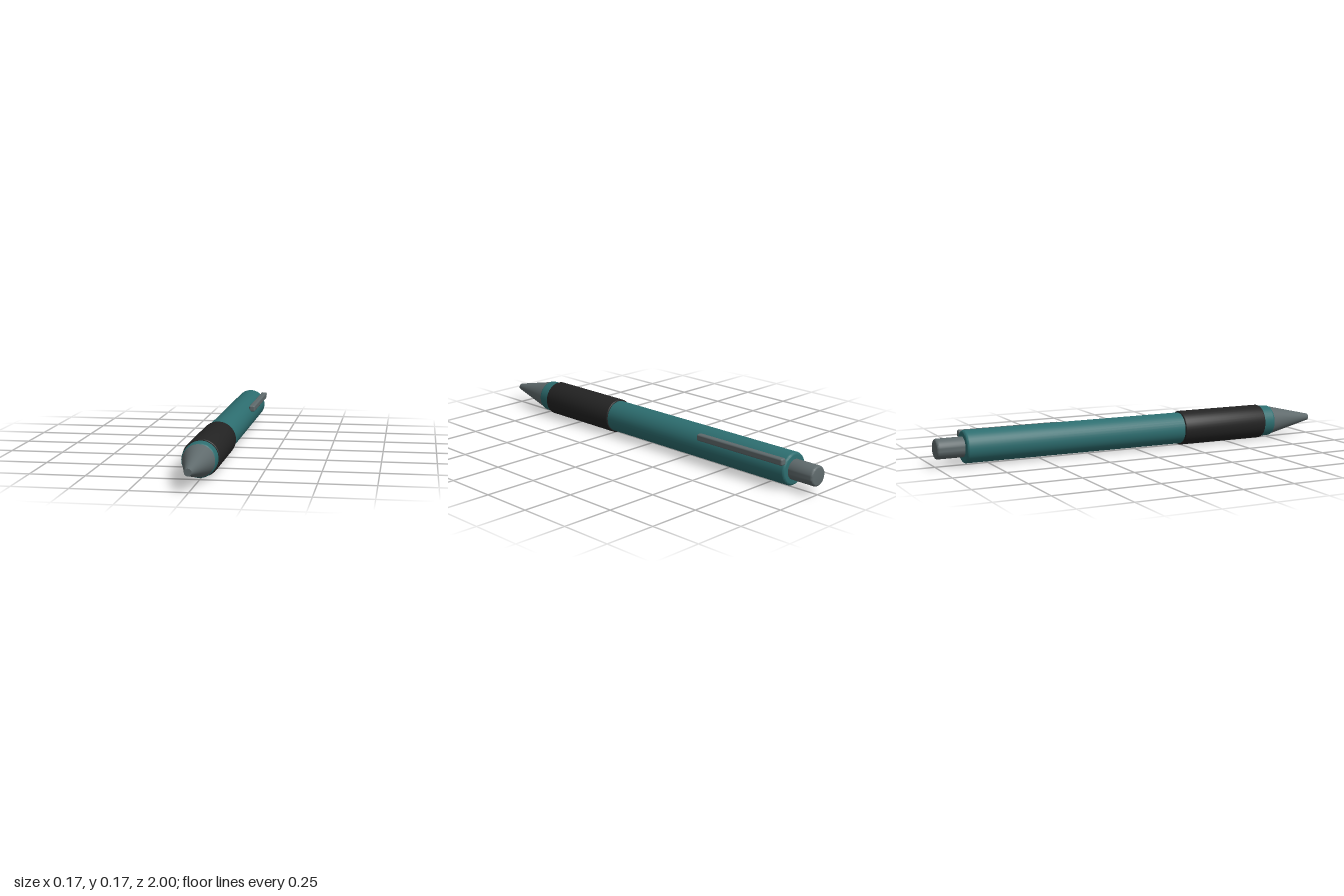
import * as THREE from 'three';
import { toCreasedNormals } from 'three/addons/utils/BufferGeometryUtils.js';
import { RoundedBoxGeometry } from 'three/addons/geometries/RoundedBoxGeometry.js';

const AXIS_X = -0.003, AXIS_Y = 0.084;

function material(name, color) {
  const m = new THREE.MeshStandardMaterial({ color });
  m.name = name;
  return m;
}

// Solid rod along z with rounded rims, from z0 (back) to z1 (front)
function rod(radius, z0, z1, bevel, steps = 4) {
  const points = [new THREE.Vector2(0, z0)];
  for (let i = 0; i <= steps; i++) {
    const a = (i / steps) * Math.PI / 2;
    points.push(new THREE.Vector2(radius - bevel + bevel * Math.sin(a), z0 + bevel - bevel * Math.cos(a)));
  }
  for (let i = 0; i <= steps; i++) {
    const a = (i / steps) * Math.PI / 2;
    points.push(new THREE.Vector2(radius - bevel + bevel * Math.cos(a), z1 - bevel + bevel * Math.sin(a)));
  }
  points.push(new THREE.Vector2(0, z1));
  const g = new THREE.LatheGeometry(points, 40);
  g.rotateX(Math.PI / 2);
  return toCreasedNormals(g, 0.5);
}

export function createModel() {
  const model = new THREE.Group();
  model.name = 'pen';
  const teal = material('teal barrel', 0x2d6e70);
  const metal = material('grey metal', 0x5f6a6c);
  const rubber = material('black rubber', 0x232323);

  const add = (name, geometry, mat, x = AXIS_X, y = AXIS_Y, z = 0) => {
    const mesh = new THREE.Mesh(geometry, mat);
    mesh.name = name;
    mesh.position.set(x, y, z);
    model.add(mesh);
  };

  // Barrel, rubber grip and push button
  add('barrel', rod(0.076, -0.87, 0.76, 0.012), teal);
  add('grip', rod(0.083, 0.24, 0.697, 0.005), rubber);
  add('button', rod(0.047, -1, -0.85, 0.01), metal);

  // Tapered writing tip
  const tip = new THREE.CylinderGeometry(0.016, 0.072, 0.245, 40);
  tip.rotateX(Math.PI / 2);
  add('tip', tip, metal, AXIS_X, AXIS_Y, 0.8775);

  // Pocket clip on the upper left side of the barrel
  add('clip', new RoundedBoxGeometry(0.03, 0.032, 0.5, 3, 0.008), metal, 0.07, 0.133, -0.617);

  return model;
}
